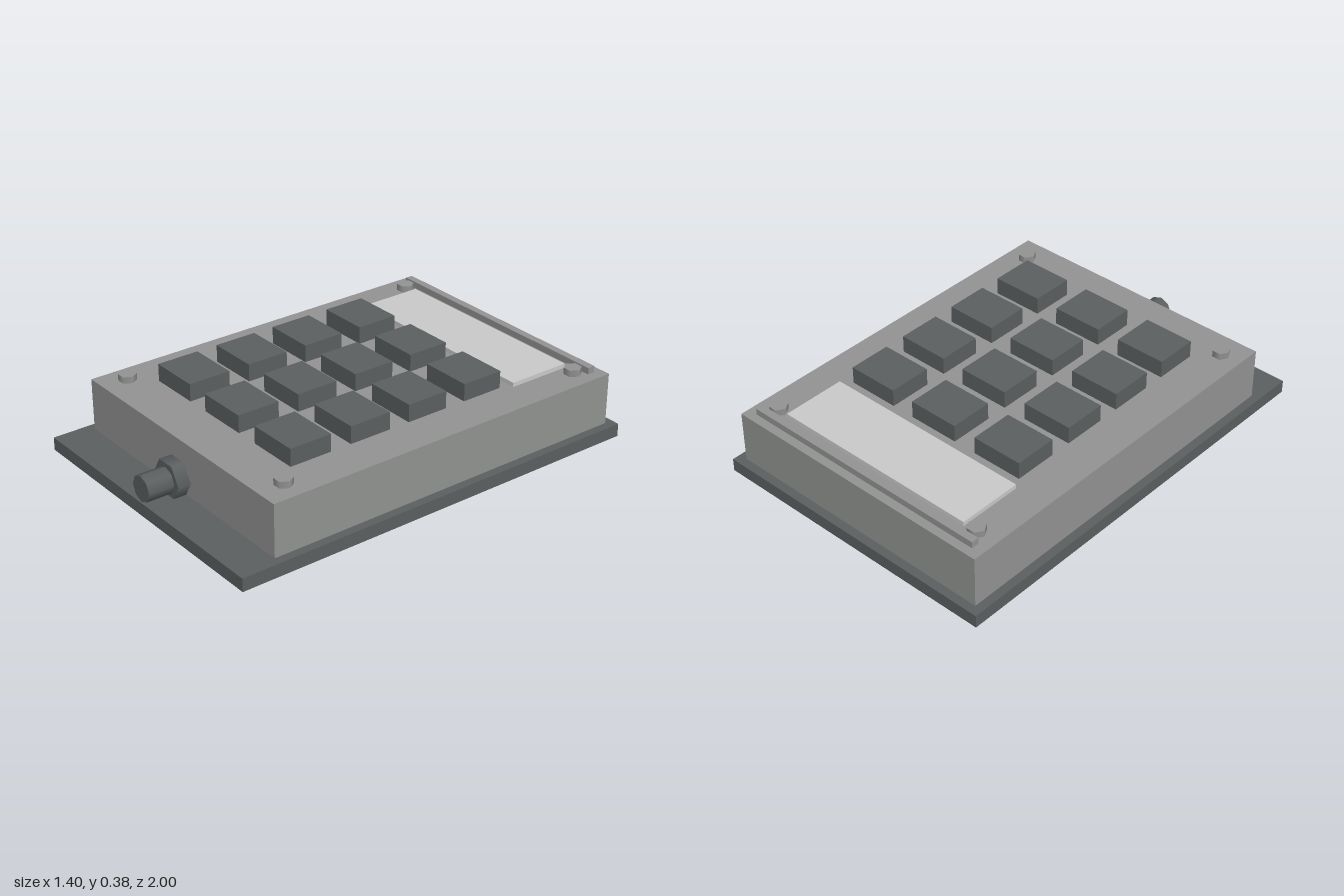
import * as THREE from 'three';

const mat = (name, color) => {
  const m = new THREE.MeshStandardMaterial({ color });
  m.name = name;
  return m;
};

export function createModel() {
  const dark = mat('dark grey', 0x5b5f5f);
  const grey = mat('mid grey', 0x919391);
  const pale = mat('pale grey', 0xc9c9c9);
  const model = new THREE.Group();
  model.name = 'keypad';

  const add = (name, geometry, material, x, y, z) => {
    const mesh = new THREE.Mesh(geometry, material);
    mesh.name = name;
    mesh.position.set(x, y, z);
    model.add(mesh);
  };
  // box from its bottom centre
  const box = (name, material, w, h, d, x, y, z) =>
    add(name, new THREE.BoxGeometry(w, h, d), material, x, y + h / 2, z);
  // upright prism with corners pointing along x
  const hex = (r, h) => new THREE.CylinderGeometry(r, r, h, 6).rotateY(Math.PI / 6);

  // mounting plate and housing
  box('basePlate', dark, 1.4, 0.06, 2, 0, 0, 0);
  box('housing', grey, 1.32, 0.24, 1.78, 0, 0.06, -0.07);

  // display and the ridge behind it
  box('display', pale, 1, 0.02, 0.3, 0, 0.3, -0.7);
  box('ridge', grey, 1.22, 0.03, 0.035, 0, 0.3, -0.9025);

  // four rows of three keys
  for (let row = 0; row < 4; row++) {
    for (let col = -1; col <= 1; col++) {
      box('key', dark, 0.24, 0.08, 0.2, col * 0.35, 0.3, -0.4 + row * 0.3);
    }
  }

  // corner screws
  for (const x of [-0.56, 0.56]) {
    for (const z of [-0.84, 0.7]) add('screw', hex(0.04, 0.03), grey, x, 0.315, z);
  }

  // cable gland and cable stub at the front
  add('glandNut', hex(0.09, 0.06).rotateX(Math.PI / 2), dark, 0, 0.127, 0.85);
  const cable = new THREE.CylinderGeometry(0.06, 0.06, 0.12, 8).rotateX(Math.PI / 2);
  add('cableStub', cable, dark, 0, 0.127, 0.94);

  return model;
}
